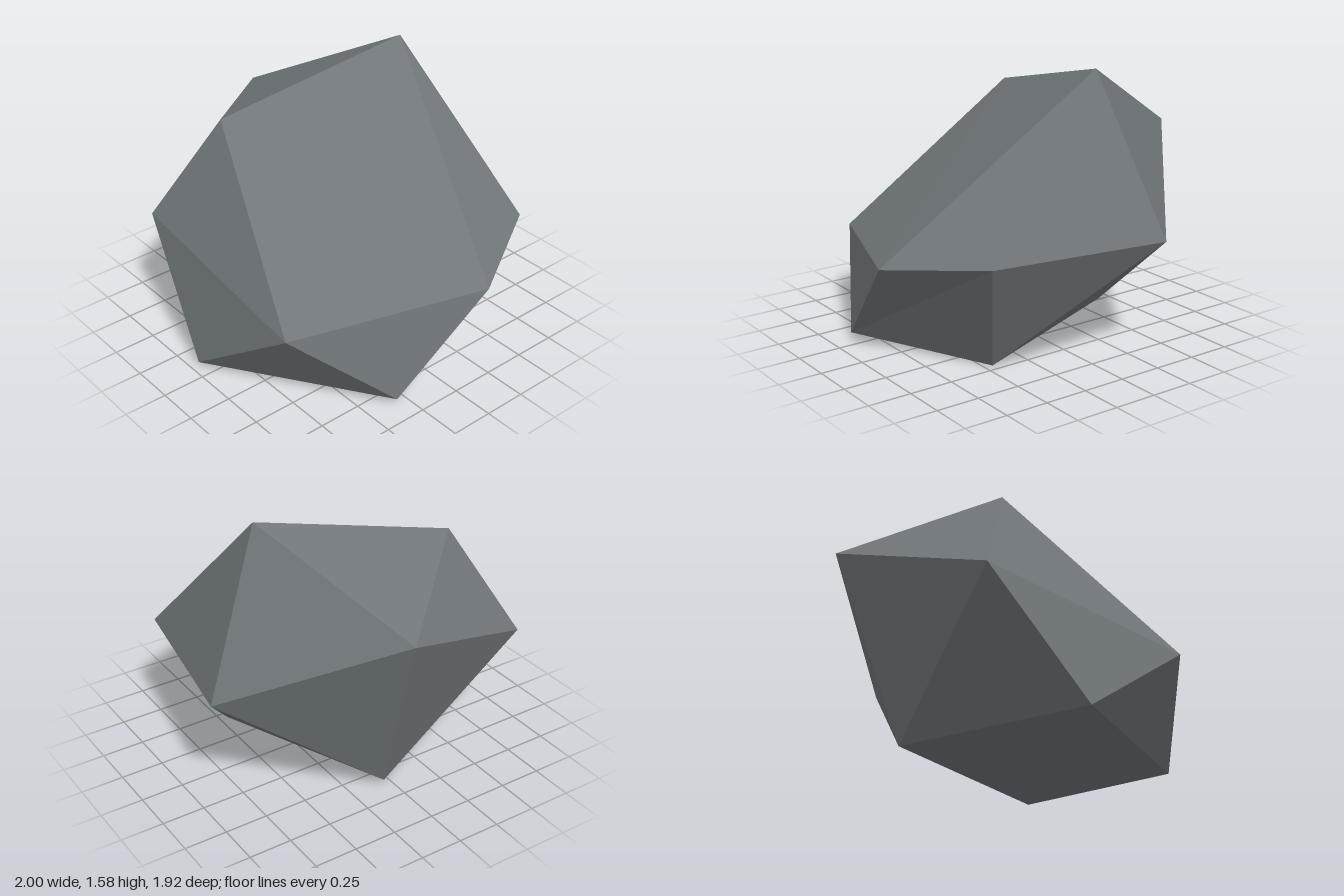
import * as THREE from 'three';

// Corners of an irregular icosahedron: two poles and two staggered rings of five.
const peak = [-0.14, 1.58, -0.57];
const upperRing = [
  [-0.35, 1.33, 0.55],
  [1.0, 0.59, -0.21],
  [0.68, 0.68, -0.78],
  [-0.32, 0.69, -0.96],
  [-1.0, 1.12, -0.15],
];
const lowerRing = [
  [0.58, 0.5, 0.85],
  [0.88, 0.04, 0.33],
  [0.45, 0.0, -0.45],
  [-0.62, 0.03, -0.05],
  [-0.63, 0.72, 0.86],
];
const foot = [-0.09, 0.03, 0.96];

// Cap, zigzag band and base, five facets at a time.
function rockGeometry() {
  const corners = [];
  const facet = (...points) => corners.push(...points.flat());
  for (let i = 0; i < 5; i++) {
    const j = (i + 1) % 5;
    facet(peak, upperRing[i], upperRing[j]);
    facet(upperRing[i], lowerRing[i], upperRing[j]);
    facet(upperRing[j], lowerRing[i], lowerRing[j]);
    facet(foot, lowerRing[j], lowerRing[i]);
  }
  const geometry = new THREE.BufferGeometry();
  geometry.setAttribute('position', new THREE.Float32BufferAttribute(corners, 3));
  geometry.computeVertexNormals(); // unshared corners give flat facets
  return geometry;
}

export function createModel() {
  const stone = new THREE.MeshStandardMaterial({ color: 0x70767a, flatShading: true });
  stone.name = 'stone grey';

  const rock = new THREE.Mesh(rockGeometry(), stone);
  rock.name = 'rock';

  const model = new THREE.Group();
  model.name = 'boulder';
  model.add(rock);
  return model;
}
